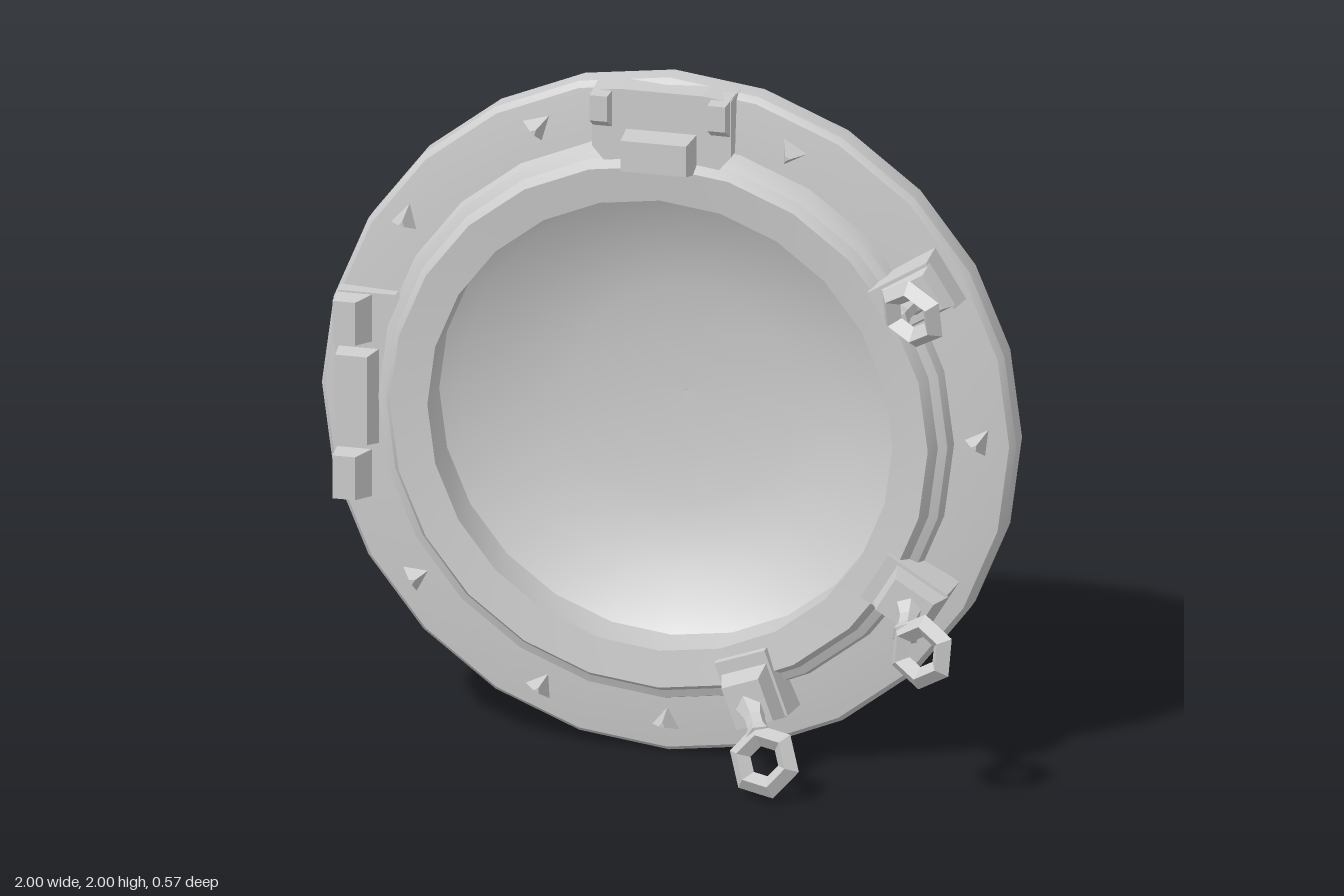
import * as THREE from 'three';
import { toCreasedNormals } from 'three/addons/utils/BufferGeometryUtils.js';

const SIDES = 24;
const flat = new THREE.MeshStandardMaterial({ color: 0xcccccc, flatShading: true });
const smooth = new THREE.MeshStandardMaterial({ color: 0xcccccc });
const glassMat = new THREE.MeshStandardMaterial({ color: 0xcccccc, side: THREE.DoubleSide });

function part(name, geometry, material = flat) {
  const mesh = new THREE.Mesh(geometry, material);
  mesh.name = name;
  return mesh;
}

// Lathe turned so that its axis runs along z: points are [radius, z]
function turned(points) {
  const g = new THREE.LatheGeometry(points.map(p => new THREE.Vector2(...p)), SIDES);
  return g.rotateX(Math.PI / 2);
}

// Box between two z levels whose front face is scaled by tx, ty and moved up by dy
function taperedBox(w, h, z0, z1, tx = 1, ty = 1, dy = 0) {
  const g = new THREE.BoxGeometry(w, h, z1 - z0).translate(0, 0, (z0 + z1) / 2);
  const p = g.attributes.position;
  for (let i = 0; i < p.count; i++) {
    if (p.getZ(i) > (z0 + z1) / 2) p.setXY(i, p.getX(i) * tx, p.getY(i) * ty + dy);
  }
  return g;
}

// Flat plate from an outline, spanning z0 to z1
function plate(outline, z0, z1) {
  const shape = new THREE.Shape(outline.map(p => new THREE.Vector2(...p)));
  return new THREE.ExtrudeGeometry(shape, { depth: z1 - z0, bevelEnabled: false }).translate(0, 0, z0);
}

// Bracket pointing along +y: raised pad, two end lugs and a centre knuckle
function hinge(name, angle, half, pad, knuckle) {
  const g = new THREE.Group();
  g.name = name;
  const { top, base } = pad;
  g.add(part('hingePad', plate([
    [-half, base + 0.07], [-half + 0.06, base], [half - 0.06, base], [half, base + 0.07],
    [half, top - 0.01], [half * 0.6, top], [-half * 0.6, top], [-half, top - 0.01],
  ], -0.1, pad.z)));
  for (const s of [-1, 1]) {
    // Wedge that is highest towards the rim
    const lug = part('hingeLug', taperedBox(pad.lugW, pad.lugH, -0.06, 0.05, 0.85, 0.5, pad.lugH * 0.22));
    lug.position.set(s * (half - pad.lugW / 2), top - 0.005 - pad.lugH / 2, 0);
    g.add(lug);
  }
  const k = part('hingeKnuckle', taperedBox(knuckle.w, knuckle.h, -0.04, knuckle.z, 0.9, 0.7, 0.015));
  k.position.y = knuckle.y;
  g.add(k);
  g.rotation.z = angle;
  return g;
}

// Swing clamp: jaw block on the ring, flared stem and ring-shaped nut
function clamp([bx, by, top], [nx, ny, nz]) {
  const g = new THREE.Group();
  g.name = 'clamp';
  const angle = Math.atan2(by, bx);
  const jaw = new THREE.Group();
  jaw.name = 'clampJaw';
  jaw.add(part('jawBase', taperedBox(0.21, 0.17, -0.05, 0.05, 0.95, 0.9)));
  const head = part('jawHead', taperedBox(0.17, 0.14, 0.04, top, 0.75, 0.8));
  head.position.x = 0.02;
  jaw.add(head);
  jaw.position.set(bx, by, 0);
  jaw.rotation.z = angle;
  g.add(jaw);

  // Stem runs from the jaw to the inner edge of the nut
  const nut = new THREE.Vector3(nx, ny, nz);
  const from = new THREE.Vector3(bx + 0.03 * Math.cos(angle), by + 0.03 * Math.sin(angle), top - 0.03);
  const to = nut.clone().add(new THREE.Vector3(-Math.cos(angle), -Math.sin(angle), -0.5).multiplyScalar(0.065));
  const dir = to.clone().sub(from);
  const L = dir.length();
  const stem = part('clampStem', new THREE.LatheGeometry([
    [0, 0], [0.05, 0], [0.028, L * 0.45], [0.028, L * 0.75], [0.04, L], [0, L + 0.015],
  ].map(p => new THREE.Vector2(...p)), 6));
  stem.position.copy(from);
  stem.quaternion.setFromUnitVectors(new THREE.Vector3(0, 1, 0), dir.normalize());
  g.add(stem);

  // Nut leans forward on its outer side
  const loop = part('clampNut', new THREE.TorusGeometry(0.075, 0.032, 4, 6));
  loop.position.copy(nut);
  loop.rotation.set(0, -0.35, angle, 'ZYX');
  g.add(loop);
  return g;
}

export function createModel() {
  const model = new THREE.Group();
  model.name = 'porthole';
  const body = new THREE.Group();
  body.name = 'portholeBody';
  body.position.y = 1;
  model.add(body);

  // Wall flange with a rounded rim and a wide opening at the back
  body.add(part('flange', toCreasedNormals(turned([
    [0.715, -0.08], [0.745, -0.148], [0.97, -0.157], [1, -0.145], [1, -0.08],
    [0.985, -0.06], [0.83, -0.04], [0.715, -0.04], [0.715, -0.08],
  ]), 0.4), smooth));

  // Raised window ring with a stepped outer edge
  body.add(part('windowRing', toCreasedNormals(turned([
    [0.67, -0.11], [0.835, -0.05], [0.82, -0.01], [0.795, 0], [0.775, 0.035],
    [0.67, 0.022], [0.67, -0.11],
  ]), 0.4), smooth));

  // Glass bulging to the back
  body.add(part('glass', turned([
    [0.001, -0.275], [0.1, -0.273], [0.2, -0.267], [0.32, -0.253],
    [0.42, -0.232], [0.52, -0.197], [0.62, -0.152], [0.68, -0.115], [0.725, -0.085],
  ]), glassMat));

  // Hinges at the top and on the right
  body.add(hinge('topHinge', 0, 0.2,
    { top: 0.985, base: 0.74, z: 0.005, lugW: 0.06, lugH: 0.15 },
    { w: 0.21, h: 0.13, y: 0.805, z: 0.095 }));
  body.add(hinge('sideHinge', Math.PI / 2, 0.305,
    { top: 0.945, base: 0.7, z: -0.01, lugW: 0.15, lugH: 0.13 },
    { w: 0.29, h: 0.13, y: 0.87, z: 0.04 }));

  // Three clamps around the left and lower edge
  body.add(clamp([0.73, 0.45, 0.08], [0.78, 0.48, 0.225]));
  body.add(clamp([0.71, -0.43, 0.11], [0.81, -0.52, 0.235]));
  body.add(clamp([0.27, -0.75, 0.12], [0.355, -0.89, 0.23]));

  // Small pointed bolts on the flange
  const bolts = [[-0.37, 0.83], [0.36, 0.82], [-0.75, 0.52], [0.9, 0.01],
    [-0.72, -0.54], [-0.36, -0.83], [0, -0.9]];
  for (const [x, y] of bolts) {
    const bolt = part('bolt', new THREE.CylinderGeometry(0.01, 0.05, 0.06, 3).rotateX(Math.PI / 2));
    bolt.position.set(x, y, -0.03);
    bolt.rotation.z = Math.atan2(y, x) + 0.4;
    body.add(bolt);
  }
  return model;
}
